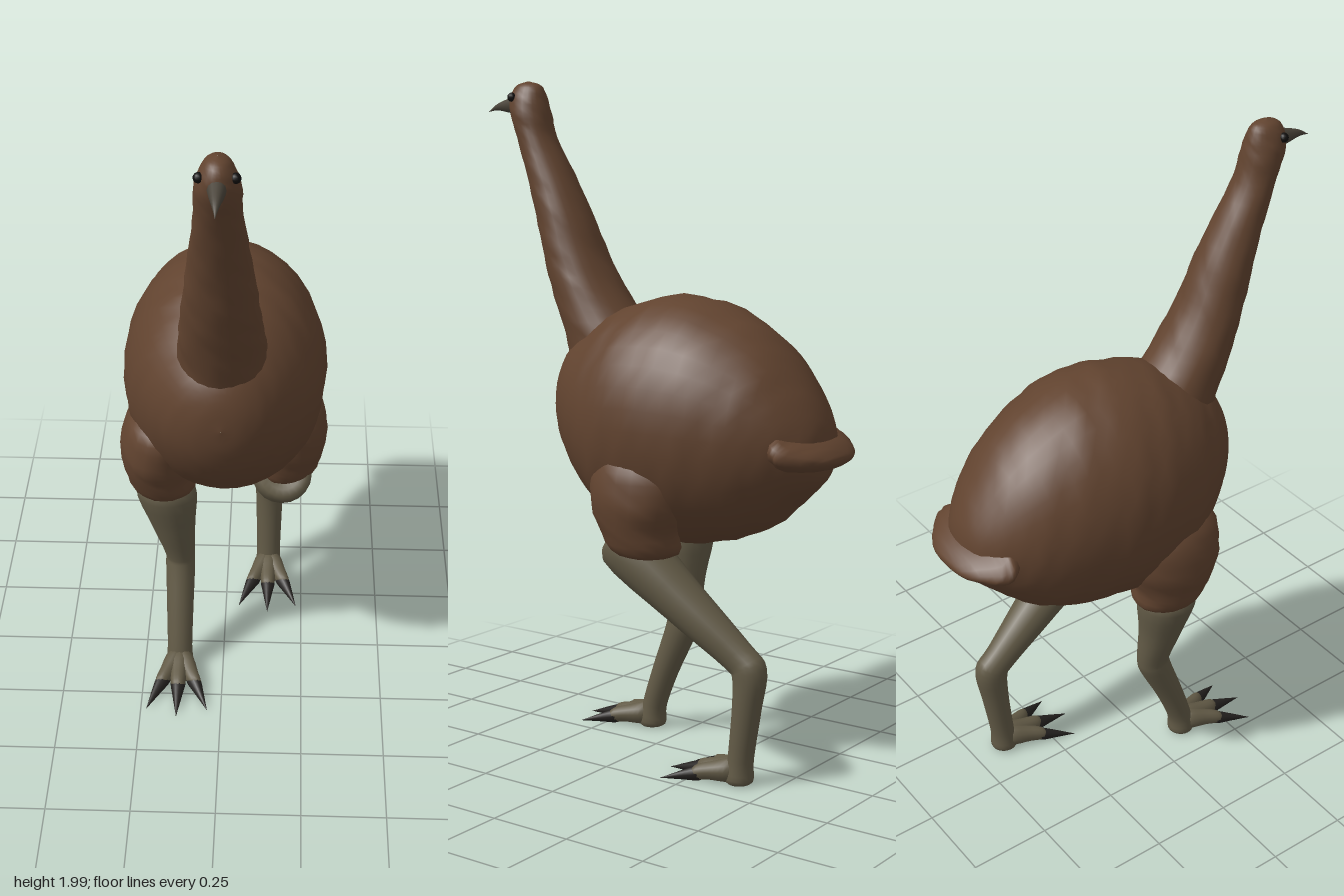
import * as THREE from 'three';

const mat = (name, color) => {
  const m = new THREE.MeshStandardMaterial({ color });
  m.name = name;
  return m;
};

// Smooth closed skin through elliptical sections [x, y, z, halfX, halfV, tilt].
// The section's second axis is (0, sin tilt, cos tilt); tilt 0 runs downward, PI/2 runs forward.
function loft(sections, { sides = 20, steps = 4, bump = 0 } = {}) {
  const spline = (from) => new THREE.CatmullRomCurve3(
    sections.map((s) => new THREE.Vector3(...s.slice(from, from + 3))), false, 'catmullrom', 0.5);
  const centres = spline(0), sizes = spline(3);
  const rows = (sections.length - 1) * steps;
  const pos = [], idx = [];
  for (let i = 0; i <= rows; i++) {
    const c = centres.getPoint(i / rows), s = sizes.getPoint(i / rows);
    for (let j = 0; j < sides; j++) {
      const a = (j / sides) * Math.PI * 2;
      // gentle feathery unevenness
      const k = 1 + bump * (Math.sin(i * 1.7 + 3 * a) + Math.sin(5 * a - i * 0.9) + Math.sin(i * 2.6 + 8 * a));
      const u = Math.max(s.x, 0.0005) * Math.cos(a) * k;
      const v = Math.max(s.y, 0.0005) * Math.sin(a) * k;
      pos.push(c.x + u, c.y + v * Math.sin(s.z), c.z + v * Math.cos(s.z));
      if (i < rows) {
        const n = (j + 1) % sides, p = i * sides, q = p + sides;
        idx.push(p + j, p + n, q + j, p + n, q + n, q + j);
      }
    }
  }
  const g = new THREE.BufferGeometry();
  g.setAttribute('position', new THREE.Float32BufferAttribute(pos, 3));
  g.setIndex(idx);
  g.computeVertexNormals();
  return g;
}

const tilt = (list, a) => list.map((s) => [...s, a]);
const FWD = Math.PI / 2;

export function createModel() {
  const feather = mat('brown feathers', 0x61432f);
  const skin = mat('olive grey skin', 0x625a46);
  const horn = mat('beak horn', 0x4a443a);
  const dark = mat('dark claw', 0x24211f);
  const eyeMat = mat('black eye', 0x100e0d);

  const root = new THREE.Group();
  root.name = 'flightlessBird';
  const add = (parent, name, geo, material) => {
    const m = new THREE.Mesh(geo, material);
    m.name = name;
    parent.add(m);
    return m;
  };

  // Body, tail end to breast
  add(root, 'body', loft(tilt([
    [0, 0.97, -0.592, 0, 0],
    [0, 0.97, -0.57, 0.09, 0.09],
    [0, 0.99, -0.5, 0.17, 0.18],
    [0, 1.0, -0.4, 0.235, 0.275],
    [0, 1.013, -0.25, 0.285, 0.343],
    [0, 1.018, -0.1, 0.303, 0.362],
    [0, 1.012, 0.05, 0.283, 0.338],
    [0, 1.03, 0.17, 0.225, 0.265],
    [0, 1.05, 0.26, 0.15, 0.18],
    [0, 1.06, 0.305, 0.075, 0.09],
    [0, 1.06, 0.318, 0, 0],
  ], FWD), { sides: 36, bump: 0.005 }), feather);

  // Short tail flap
  add(root, 'tail', loft(tilt([
    [0, 0.95, -0.634, 0, 0],
    [0, 0.95, -0.628, 0.07, 0.014],
    [0, 0.955, -0.6, 0.13, 0.036],
    [0, 0.965, -0.545, 0.19, 0.055],
    [0, 0.98, -0.5, 0.175, 0.07],
    [0, 0.99, -0.42, 0.1, 0.05],
  ], FWD), { bump: 0.01 }), feather);

  // Neck and head, crown to shoulders
  add(root, 'neckAndHead', loft(tilt([
    [0, 1.998, 0.478, 0, 0],
    [0, 1.985, 0.476, 0.03, 0.042],
    [0, 1.95, 0.477, 0.05, 0.06],
    [0, 1.9, 0.468, 0.062, 0.064],
    [0, 1.83, 0.445, 0.063, 0.06],
    [0, 1.72, 0.393, 0.075, 0.072],
    [0, 1.6, 0.34, 0.09, 0.085],
    [0, 1.48, 0.295, 0.104, 0.096],
    [0, 1.36, 0.235, 0.117, 0.116],
    [0, 1.22, 0.15, 0.13, 0.15],
    [0, 1.08, 0.08, 0.14, 0.18],
  ], 0), { sides: 24, bump: 0.009 }), feather);

  // Beak with slightly drooping tip
  add(root, 'beak', loft(tilt([
    [0, 1.932, 0.5, 0.03, 0.036],
    [0, 1.927, 0.55, 0.021, 0.023],
    [0, 1.922, 0.6, 0.01, 0.01],
    [0, 1.908, 0.637, 0, 0],
  ], FWD), { sides: 12 }), horn);

  for (const side of [1, -1]) {
    const name = side > 0 ? 'left' : 'right';
    add(root, name + 'Eye', new THREE.SphereGeometry(0.014, 12, 8), eyeMat)
      .position.set(side * 0.046, 1.95, 0.505);

    // Feathered thigh
    const z = side > 0 ? -0.08 : 0.02;
    add(root, name + 'Thigh', loft(tilt([
      [side * 0.17, 1.0, z, 0.01, 0.01],
      [side * 0.18, 0.92, z, 0.105, 0.14],
      [side * 0.198, 0.81, z, 0.115, 0.15],
      [side * 0.195, 0.72, z, 0.103, 0.12],
      [side * 0.18, 0.65, z - 0.015, 0.09, 0.098],
      [side * 0.18, 0.635, z - 0.015, 0, 0],
    ], 0), { bump: 0.008 }), feather);
  }

  // Bare legs in mid stride: left trailing, right leading
  const strides = {
    left: [
      [0.18, 0.675, -0.015, 0, 0, -0.93],
      [0.18, 0.67, -0.02, 0.088, 0.083, -0.93],
      [0.16, 0.51, -0.22, 0.07, 0.067, -0.93],
      [0.14, 0.38, -0.385, 0.047, 0.051, -0.85],
      [0.138, 0.335, -0.425, 0.046, 0.054, -0.35],
      [0.138, 0.24, -0.418, 0.043, 0.043, 0.1],
      [0.138, 0.08, -0.398, 0.039, 0.037, 0.1],
      [0.138, 0.012, -0.393, 0.04, 0.04, 0],
      [0.138, 0.006, -0.393, 0, 0, 0],
    ],
    right: [
      [-0.18, 0.66, 0.017, 0, 0, 0.06],
      [-0.18, 0.65, 0.017, 0.09, 0.085, 0.06],
      [-0.158, 0.5, 0.01, 0.068, 0.068, 0.06],
      [-0.14, 0.38, -0.003, 0.047, 0.054, 0.08],
      [-0.138, 0.33, 0.005, 0.046, 0.05, 0.25],
      [-0.138, 0.2, 0.06, 0.042, 0.041, 0.4],
      [-0.138, 0.08, 0.103, 0.039, 0.037, 0.3],
      [-0.138, 0.012, 0.112, 0.04, 0.04, 0],
      [-0.138, 0.006, 0.112, 0, 0, 0],
    ],
  };
  for (const [name, path] of Object.entries(strides)) {
    add(root, name + 'Leg', loft(path), skin);

    // Three spread toes, each ending in a long claw
    const foot = new THREE.Group();
    foot.name = name + 'Foot';
    foot.position.set(path[7][0], 0, path[7][2] - 0.005);
    root.add(foot);
    for (const t of [-1, 0, 1]) {
      const reach = t ? 0.88 : 1;
      const at = (f, y, hx, hy) => [t * 0.095 * f, y, 0.245 * f * reach, hx, hy, FWD];
      add(foot, 'toe', loft([
        at(-0.05, 0.04, 0.01, 0.01), at(0.08, 0.044, 0.034, 0.036), at(0.35, 0.038, 0.027, 0.028),
        at(0.56, 0.03, 0.02, 0.021), at(0.62, 0.028, 0, 0),
      ], { sides: 12 }), skin);
      add(foot, 'claw', loft([
        at(0.44, 0.03, 0, 0), at(0.48, 0.03, 0.023, 0.023),
        at(0.7, 0.02, 0.015, 0.015), at(1, 0.004, 0, 0),
      ], { sides: 10 }), dark);
    }
  }
  return root;
}
